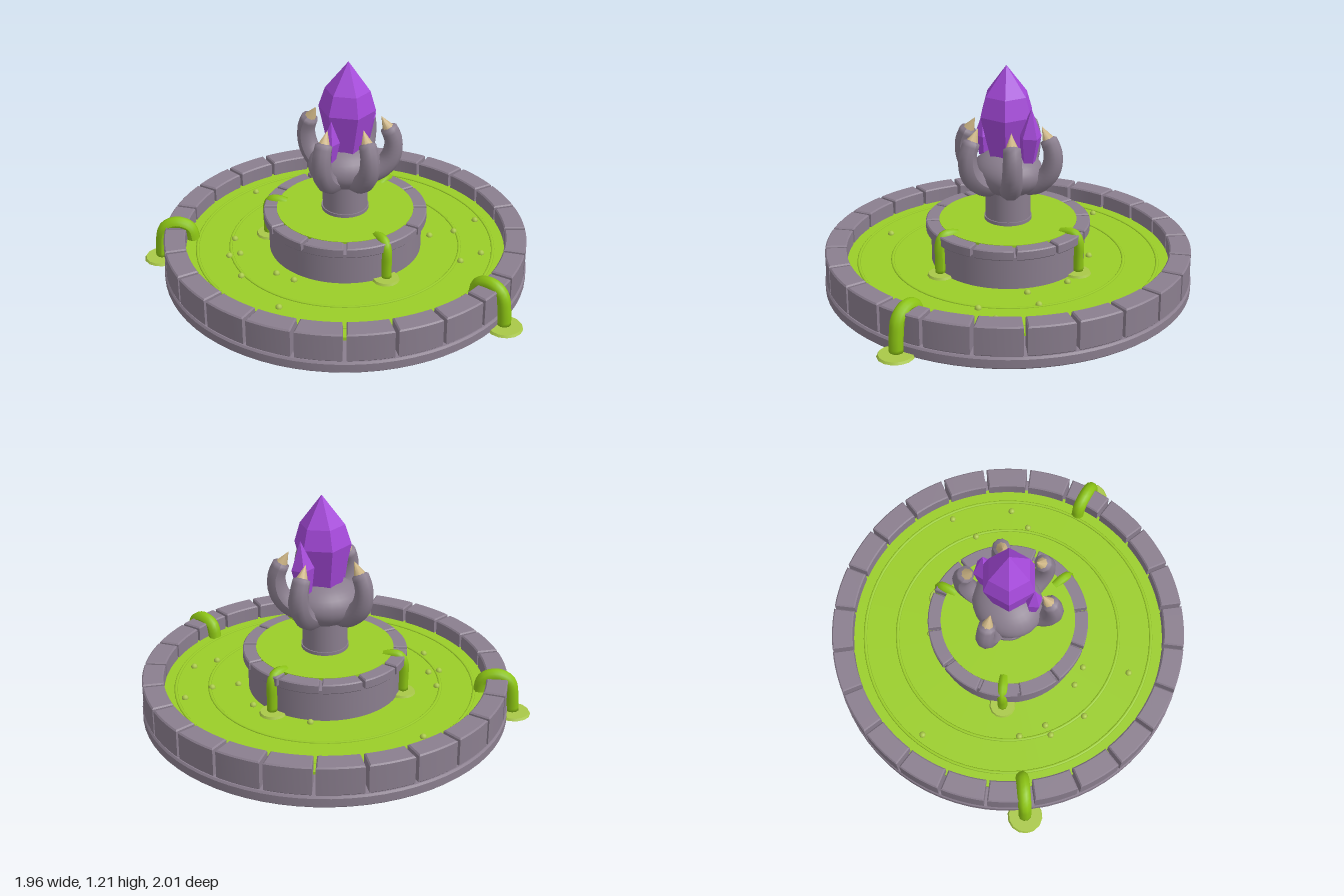
import * as THREE from 'three';
import { toCreasedNormals } from 'three/addons/utils/BufferGeometryUtils.js';

const mat = (name, color, flat = false) =>
  new THREE.MeshStandardMaterial({ name, color, flatShading: flat });

export function createModel() {
  const stone = mat('stone', 0x8a7e8e);
  const slime = mat('slime', 0x9acd28);
  const stream = mat('stream', 0x8cc414);
  const puddleGreen = mat('puddleGreen', 0xa9c848);
  const crystalPurple = mat('crystalPurple', 0xa549da, true);
  const horn = mat('horn', 0xcdb585);

  const model = new THREE.Group();
  model.name = 'slimeFountain';
  const body = new THREE.Group();
  body.name = 'fountain';
  body.position.z = -0.018;
  model.add(body);

  const add = (name, geo, material, x = 0, y = 0, z = 0, parent = body) => {
    const mesh = new THREE.Mesh(geo, material);
    mesh.name = name;
    mesh.position.set(x, y, z);
    parent.add(mesh);
    return mesh;
  };
  const disc = (name, r, y0, y1, material, sides = 64) =>
    add(name, new THREE.CylinderGeometry(r, r, y1 - y0, sides), material, 0, (y0 + y1) / 2, 0);

  // Ring of bevelled blocks with narrow joints between them
  const blockRing = (name, count, rIn, rOut, y0, y1, gap, bevel) => {
    const step = (Math.PI * 2) / count;
    const a = rOut - bevel, b = rIn + bevel, g = gap / 2 + bevel;
    const shape = new THREE.Shape();
    shape.absarc(0, 0, a, g / a, step - g / a, false);
    shape.absarc(0, 0, b, step - g / b, g / b, true);
    const raw = new THREE.ExtrudeGeometry(shape, {
      depth: y1 - y0 - 2 * bevel, bevelSize: bevel, bevelThickness: bevel,
      bevelSegments: 1, curveSegments: 5,
    });
    raw.translate(0, 0, bevel).rotateX(-Math.PI / 2);
    const geo = toCreasedNormals(raw, 0.4);
    const ring = new THREE.Group();
    ring.name = name;
    for (let i = 0; i < count; i++) add('block', geo, stone, 0, y0, 0, ring).rotation.y = i * step;
    body.add(ring);
  };

  // Tube whose radius follows radiusAt(u); its far end is closed
  const taperTube = (points, radiusAt, segments, sides) => {
    const path = new THREE.CatmullRomCurve3(points.map(([r, y]) => new THREE.Vector3(0, y, r)));
    const geo = new THREE.TubeGeometry(path, segments, 1, sides);
    const pos = geo.attributes.position;
    const v = new THREE.Vector3();
    for (let i = 0; i <= segments; i++) {
      const c = path.getPointAt(i / segments);
      const r = i === segments ? 0.0005 : radiusAt(i / segments);
      for (let j = 0; j <= sides; j++) {
        const k = i * (sides + 1) + j;
        v.fromBufferAttribute(pos, k).sub(c).multiplyScalar(r).add(c);
        pos.setXYZ(k, v.x, v.y, v.z);
      }
    }
    geo.computeVertexNormals();
    return geo;
  };

  // Basin: foot, wall and pool
  const foot = [[0, 0], [0.974, 0], [0.982, 0.008], [0.982, 0.052], [0.974, 0.062], [0, 0.062]];
  const footGeo = new THREE.LatheGeometry(foot.map(([x, y]) => new THREE.Vector2(x, y)), 72);
  add('basinFoot', toCreasedNormals(footGeo, 0.4), stone);
  blockRing('basinWall', 24, 0.862, 0.976, 0.064, 0.222, 0.018, 0.007);
  disc('basinPool', 0.88, 0.122, 0.138, slime, 72);
  for (const r of [0.8, 0.62]) {
    const ripple = new THREE.TorusGeometry(r, 0.009, 6, 72).rotateX(Math.PI / 2).scale(1, 0.6, 1);
    add('ripple', ripple, slime, 0, 0.138, 0);
  }

  // Pedestal with its own block rim and pool
  disc('pedestal', 0.41, 0.122, 0.312, stone);
  blockRing('pedestalRim', 12, 0.36, 0.437, 0.306, 0.36, 0.016, 0.006);
  disc('upperPool', 0.366, 0.35, 0.362, slime);
  disc('column', 0.12, 0.355, 0.56, stone, 32);
  disc('columnCollar', 0.126, 0.362, 0.38, stone, 32);

  // Palm
  add('palm', new THREE.SphereGeometry(1, 28, 18).scale(0.2, 0.125, 0.18), stone, 0, 0.625, 0);
  add('palmTop', new THREE.SphereGeometry(1, 20, 14).scale(0.15, 0.1, 0.14), stone, 0, 0.655, 0);

  // Five curled fingers with claws
  const fingerGeo = taperTube(
    [[0.06, 0.57], [0.165, 0.585], [0.235, 0.655], [0.253, 0.755], [0.218, 0.852]],
    (u) => 0.064 - 0.02 * u, 18, 10);
  const clawGeo = new THREE.ConeGeometry(0.036, 0.085, 8);
  for (const deg of [0, 60, 122, 205, -58]) {
    const finger = new THREE.Group();
    finger.name = 'finger';
    finger.rotation.y = THREE.MathUtils.degToRad(deg);
    add('fingerFlesh', fingerGeo, stone, 0, 0, 0, finger);
    add('claw', clawGeo, horn, 0, 0.862, 0.208, finger).rotation.x = -0.5;
    body.add(finger);
  }

  // Crystals: faceted lathe profiles
  const crystal = (name, profile, sides, turn, x, y, z, tiltX = 0, tiltZ = 0) => {
    const pts = profile.map(([r, h]) => new THREE.Vector2(r, h));
    const mesh = add(name, new THREE.LatheGeometry(pts, sides, turn), crystalPurple, x, y, z);
    mesh.rotation.set(tiltX, 0, tiltZ);
  };
  crystal('mainCrystal', [[0, 0], [0.09, 0], [0.15, 0.25], [0.118, 0.355], [0, 0.51]],
    6, -0.14, 0, 0.7, 0.008, 0.02, -0.02);
  crystal('sideCrystal', [[0, 0], [0.038, 0], [0.062, 0.14], [0, 0.29]],
    5, 0.3, 0.135, 0.715, -0.035, 0, -0.08);
  crystal('sideCrystal', [[0, 0], [0.028, 0], [0.048, 0.11], [0, 0.23]],
    5, 0.9, -0.125, 0.7, 0.065, 0.05, 0);

  // Slime spilling over a rim into a puddle
  const spill = (deg, geo, r, y, size) => {
    const g = new THREE.Group();
    g.name = 'spill';
    g.rotation.y = THREE.MathUtils.degToRad(deg);
    add('spillStream', geo, stream, 0, 0, 0, g);
    add('puddle', new THREE.CylinderGeometry(size * 0.92, size, 0.012, 14), puddleGreen, 0, y, r, g);
    body.add(g);
  };
  const bigSpill = taperTube(
    [[0.83, 0.13], [0.85, 0.205], [0.92, 0.23], [0.985, 0.195], [1.005, 0.11], [1.01, 0.008]],
    () => 0.036, 22, 10);
  const smallSpill = taperTube(
    [[0.325, 0.345], [0.365, 0.357], [0.41, 0.352], [0.43, 0.31], [0.43, 0.23], [0.43, 0.14]],
    () => 0.027, 18, 8);
  for (const deg of [23, -122.7]) spill(deg, bigSpill, 1.013, 0.012, 0.095);
  for (const deg of [0, 114, -132]) spill(deg, smallSpill, 0.425, 0.144, 0.072);

  // Bubbles on the pool
  const bubbleGeo = new THREE.SphereGeometry(0.018, 10, 6);
  const bubbles = [
    [-0.18, -0.73], [-0.51, -0.32], [-0.55, -0.17], [-0.61, -0.18], [-0.64, 0.03],
    [-0.47, 0.1], [-0.42, 0.2], [-0.6, 0.38], [0.26, -0.35], [0.45, -0.06],
    [0.43, 0.18], [0.57, 0.21], [0.74, 0.17], [0.43, 0.48], [0.57, 0.47],
  ];
  for (const [x, z] of bubbles) add('bubble', bubbleGeo, puddleGreen, x, 0.141, z);

  return model;
}
